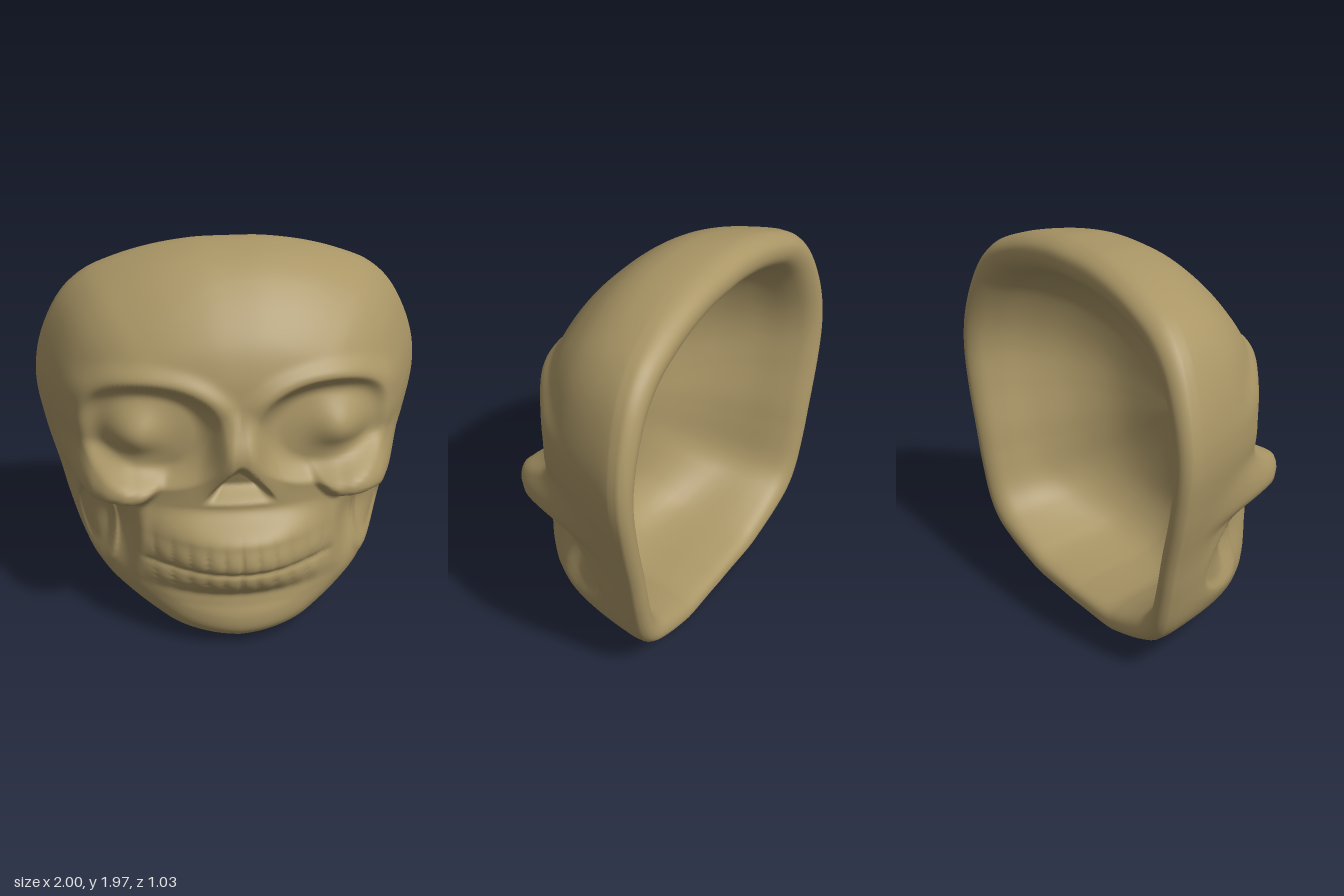
import * as THREE from 'three';

const CENTRE_Y = 0.95;
const AROUND = 220;
const OUTER = 10; // profile points 0..10 are the outside, the rest rim and hollow

const vecs = (list) => list.map(([a, b]) => new THREE.Vector2(a, b));
const step = (lo, hi, v) => THREE.MathUtils.smoothstep(v, lo, hi);
const bump = (u, v = 0) => Math.exp(-u * u - v * v);

// Half outline seen from the front, crown to chin
const outline = new THREE.SplineCurve(vecs([
  [0, 1.97], [0.18, 1.965], [0.39, 1.93], [0.58, 1.87], [0.74, 1.79], [0.87, 1.65],
  [0.97, 1.42], [1, 1.2], [0.965, 0.95], [0.9, 0.68], [0.86, 0.5], [0.8, 0.3],
  [0.72, 0.19], [0.6, 0.12], [0.45, 0.06], [0.3, 0.02], [0, 0.003],
]));

// Shell profiles (share of the outline radius, z): face, edge, rim, hollow
const profiles = {
  up: new THREE.SplineCurve(vecs([
    [0, 0.36], [0.13, 0.36], [0.27, 0.355], [0.4, 0.34], [0.52, 0.32], [0.65, 0.27], [0.76, 0.19],
    [0.86, 0.09], [0.94, -0.02], [0.985, -0.14], [1, -0.29], [0.99, -0.38], [0.945, -0.44],
    [0.87, -0.44], [0.81, -0.37], [0.76, -0.2], [0.64, 0], [0.4, 0.16], [0, 0.21],
  ])),
  side: new THREE.SplineCurve(vecs([
    [0, 0.36], [0.13, 0.355], [0.27, 0.335], [0.4, 0.3], [0.52, 0.26], [0.62, 0.21], [0.71, 0.13],
    [0.79, 0.03], [0.87, -0.1], [0.94, -0.26], [1, -0.43], [0.99, -0.49], [0.94, -0.51],
    [0.88, -0.47], [0.835, -0.38], [0.76, -0.2], [0.62, -0.01], [0.4, 0.13], [0, 0.21],
  ])),
  down: new THREE.SplineCurve(vecs([
    [0, 0.36], [0.13, 0.36], [0.27, 0.36], [0.42, 0.37], [0.55, 0.39], [0.68, 0.415], [0.8, 0.445],
    [0.9, 0.425], [0.965, 0.33], [0.995, 0.1], [1, -0.33], [0.98, -0.44], [0.94, -0.46],
    [0.89, -0.43], [0.86, -0.3], [0.82, 0.01], [0.65, 0.16], [0.4, 0.2], [0, 0.21],
  ])),
};

// Forward relief of the face at (x, y)
function relief(x, y) {
  const a = Math.abs(x);
  let d = 0;

  // Eye sockets with rounded eyes, brow ridges and outer rims
  const e = Math.abs((a - 0.43) / 0.34) ** 2.2 + Math.abs((y - 1.17) / 0.265) ** 2.2;
  d -= 0.09 * (1 - step(0.35, 1.2, e));
  d += 0.1 * bump((a - 0.52) / 0.15, (y - 1.17) / 0.14);
  d += 0.03 * bump((e - 1.35) / 0.45) * step(1.2, 1.4, y);
  d += 0.03 * bump((a - 0.77) / 0.08, (y - 1.18) / 0.18);

  // Nose bridge and the triangular nose opening
  const noseWidth = 0.06 + 0.22 * Math.max(0, 1.3 - y);
  const noseHeight = 0.085 * (y > 1.1 ? 1 - step(1.1, 1.34, y) : step(0.78, 1.1, y));
  d += noseHeight * (1 - step(0.35 * noseWidth, 1.6 * noseWidth, a));
  const opening = (1.08 - y) * 0.68 - Math.hypot(a, 0.03);
  d -= 0.11 * step(-0.03, 0.05, opening) * step(0.81, 0.9, y);

  // Cheekbones running back into the arches, with a curved lower lip
  const arch = step(0.3, 0.58, a) * (1 - step(0.72, 0.93, a));
  const lower = 0.8 + 4 * Math.max(0, 0.55 - a) ** 2;
  const cheek = 0.14 + 0.06 * step(0.5, 0.68, a);
  d += cheek * arch * step(lower - 0.05, lower + 0.05, y) * (1 - step(0.85, 1.09, y));

  // Hollow cheeks, jaw branch ridge and the oval side dents
  d -= 0.11 * bump((a - 0.61) / 0.12, (y - 0.58) / 0.2);
  d += 0.04 * bump((a - 0.5 - 0.1 * (0.6 - y)) / 0.045, (y - 0.57) / 0.2);
  const q = ((a - 0.72) / 0.09) ** 2 + ((y - 0.57) / 0.21) ** 2;
  d += 0.02 * bump((q - 1.3) / 0.4) - 0.04 * (1 - step(0.5, 1.1, q));

  // Muzzle with two rows of teeth
  const muzzle = step(0.25, 0.55, y) * (1 - step(0.64, 0.8, y));
  d += 0.13 * Math.exp(-((a / 0.37) ** 3)) * muzzle;
  const ends = 1 - step(0.4, 0.52, a);
  const row = Math.max(bump((y - 0.56) / 0.065), bump((y - 0.415) / 0.055)) * ends;
  d += row * (0.004 + 0.014 * Math.sqrt(Math.abs(Math.sin(Math.PI * a / 0.085))));
  d -= 0.012 * bump((y - 0.485) / 0.016) * ends;
  d -= 0.012 * bump((y - 0.33) / 0.03, a / 0.35);
  return d;
}

function shellGeometry() {
  // Finer steps over the face than in the hollow
  const last = profiles.up.points.length - 1;
  const ts = [];
  for (let k = 0; k < last; k++) {
    const n = k < OUTER ? 13 : 5;
    for (let i = 0; i < n; i++) ts.push(k + i / n);
  }
  ts.push(last);

  const half = outline.getSpacedPoints(AROUND / 2);
  const loop = [...half, ...half.slice(1, -1).reverse().map((p) => new THREE.Vector2(-p.x, p.y))];
  const positions = [];
  const index = [];

  ts.forEach((t, i) => {
    const [up, side, down] = ['up', 'side', 'down'].map((k) => profiles[k].getPoint(t / last));
    const fade = 1 - step(OUTER - 1.6, OUTER - 0.1, t);
    loop.forEach((p, j) => {
      const dx = p.x, dy = p.y - CENTRE_Y;
      const s = dy / Math.hypot(dx, dy);
      const blend = s > 0 ? s * s : Math.abs(s) ** 3.5;
      const section = side.clone().lerp(s > 0 ? up : down, blend);
      const r = Math.min(1, section.x);
      const x = dx * r, y = CENTRE_Y + dy * r;
      positions.push(x, y, section.y + (fade > 0 ? fade * relief(x, y) : 0));
      if (i === ts.length - 1) return;
      const n = loop.length, k = (j + 1) % n;
      const A = i * n + j, B = A + n, C = (i + 1) * n + k, D = i * n + k;
      index.push(A, C, B, A, D, C);
    });
  });

  const geometry = new THREE.BufferGeometry();
  geometry.setAttribute('position', new THREE.Float32BufferAttribute(positions, 3));
  geometry.setIndex(index);
  geometry.computeVertexNormals();
  return geometry;
}

export function createModel() {
  const group = new THREE.Group();
  group.name = 'skullMask';
  const bone = new THREE.MeshStandardMaterial({ color: 0xaa9666 });
  bone.name = 'agedBone';
  const shell = new THREE.Mesh(shellGeometry(), bone);
  shell.name = 'skullShell';
  group.add(shell);
  return group;
}
